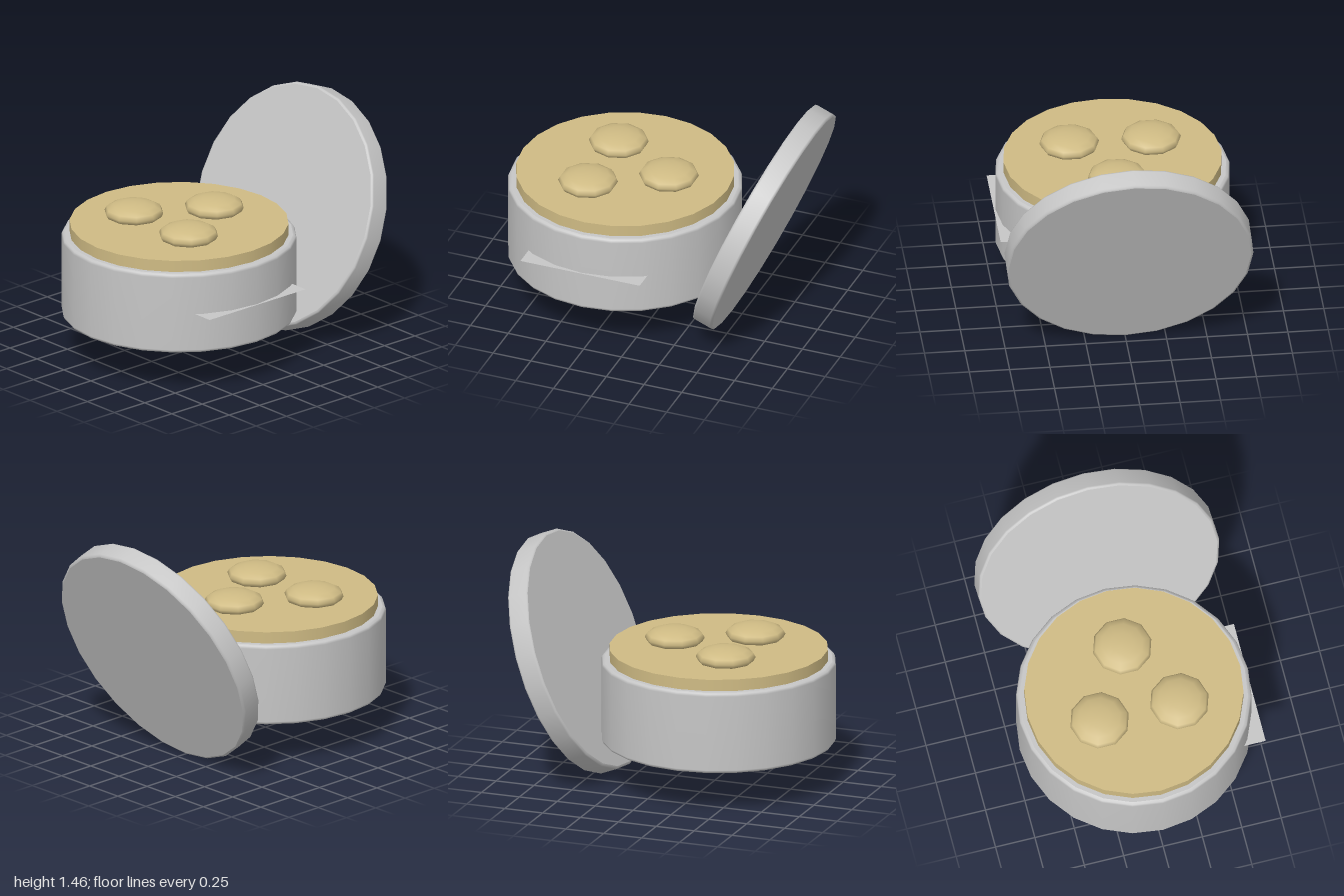
import * as THREE from 'three';

const SIDES = 24;

// Solid disc centred on its origin, with a small rounded edge and flat ends
function disc(radius, height, bevel) {
  const h = height / 2, pts = [];
  const add = (r, y) => pts.push(new THREE.Vector2(r, y));
  add(0, -h);
  add(radius - bevel, -h);
  add(radius - bevel, -h); // repeated point keeps the edge crisp
  if (bevel > 0) {
    add(radius - bevel * 0.3, -h + bevel * 0.3);
    add(radius, -h + bevel);
    add(radius, h - bevel);
    add(radius - bevel * 0.3, h - bevel * 0.3);
  } else {
    add(radius, h);
  }
  add(radius - bevel, h);
  add(radius - bevel, h);
  add(0, h);
  return new THREE.LatheGeometry(pts, SIDES);
}

export function createModel() {
  const group = new THREE.Group();
  const tin = new THREE.MeshStandardMaterial({ color: 0xc6c6c6, side: THREE.DoubleSide });
  tin.name = 'tin grey';
  const gold = new THREE.MeshStandardMaterial({ color: 0xcfbb84 });
  gold.name = 'pale gold';

  const part = (name, geometry, material, x, y, z) => {
    const mesh = new THREE.Mesh(geometry, material);
    mesh.name = name;
    mesh.position.set(x, y, z);
    group.add(mesh);
    return mesh;
  };

  const cx = -0.275;

  // Round tin and its filling
  part('tinBody', disc(0.725, 0.52, 0.022), tin, cx, 0.532, 0);
  part('filling', disc(0.675, 0.2, 0), gold, cx, 0.765, 0);

  // Three flattened domes on the filling
  for (const [x, z] of [[-0.42, -0.255], [-0.42, 0.252], [0.015, 0]]) {
    const dome = part('dome', new THREE.SphereGeometry(0.185, 10, 8), gold, x, 0.894, z);
    dome.scale.y = 0.065 / 0.185;
    dome.rotation.y = Math.PI / 2;
  }

  // Lid leaning against the side
  const lid = part('lid', disc(0.765, 0.137, 0.015), tin, 0.648, 0.73, 0);
  lid.rotation.z = -1.949;

  // Flat horizontal label plate whose corners stick out at the front
  const plate = part('labelPlate', new THREE.PlaneGeometry(0.79, 0.6), tin, -0.28, 0.53, 0.435);
  plate.rotation.x = -Math.PI / 2;

  return group;
}
